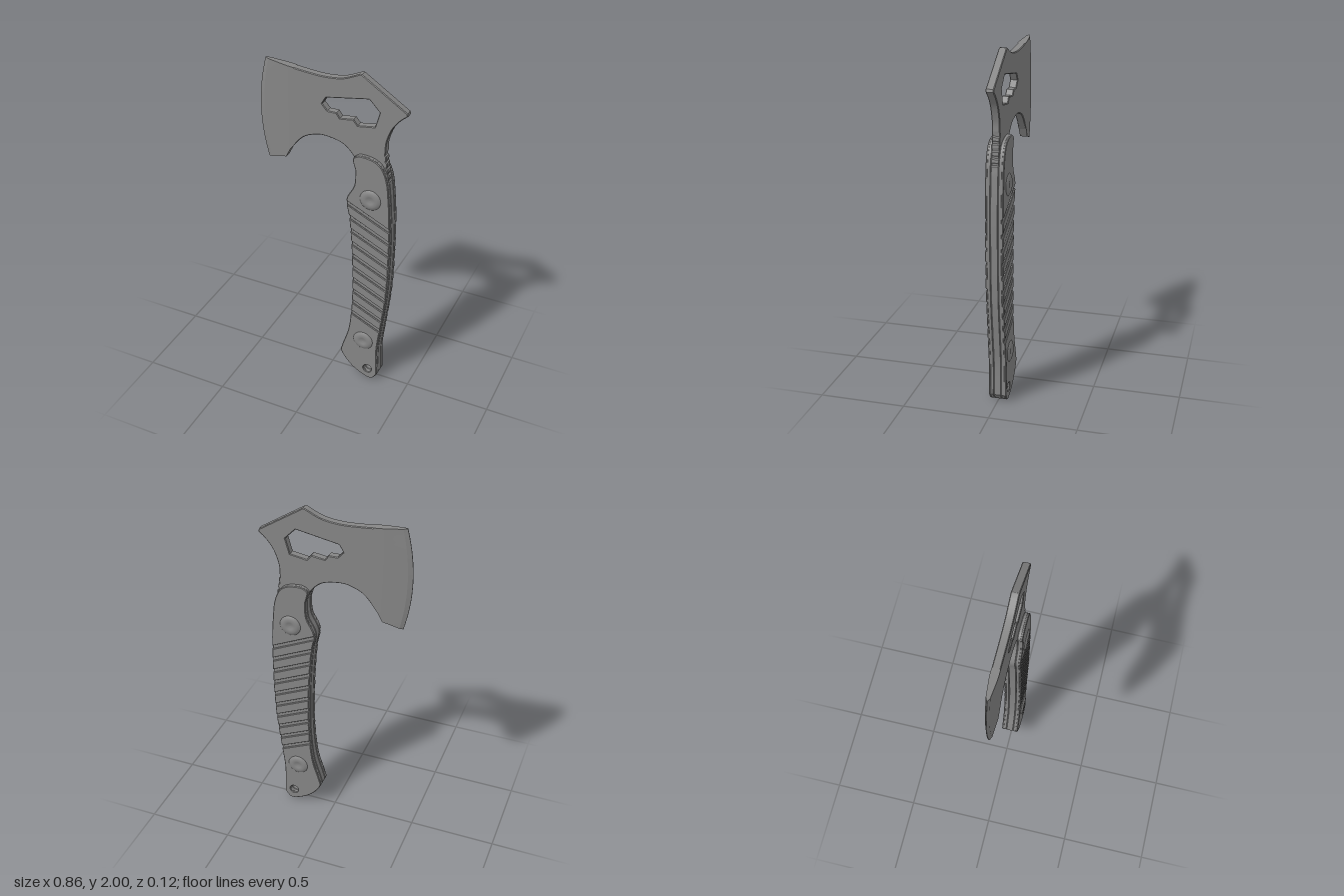
import * as THREE from 'three';
import { toCreasedNormals } from 'three/addons/utils/BufferGeometryUtils.js';

const material = new THREE.MeshStandardMaterial({ color: 0x868686 });
const vec = ([x, y]) => new THREE.Vector2(x, y);
const smooth = (pts, n = 5) => new THREE.SplineCurve(pts.map(vec)).getPoints((pts.length - 1) * n);

// Drop points that nearly coincide, so bevels stay clean
const tidy = (pts) => pts.filter((p, i) => p.distanceTo(pts[(i + 1) % pts.length]) > 0.0015);

// Flat plate between two z levels with a small bevel kept inside the outline
function plate(points, holes, z0, z1, bevel) {
  const shape = new THREE.Shape(tidy(points));
  holes.forEach((h) => shape.holes.push(new THREE.Path(h)));
  const geo = new THREE.ExtrudeGeometry(shape, {
    depth: z1 - z0 - 2 * bevel, bevelThickness: bevel, bevelSize: bevel,
    bevelOffset: -bevel, bevelSegments: 1, curveSegments: 8,
  });
  geo.translate(0, 0, z0 + bevel);
  return toCreasedNormals(geo, 0.5);
}

// Keep the part of a polygon where side * (y + slope * x - c) >= 0
const SLOPE = 0.47;
function clip(points, c, side) {
  const dist = (p) => side * (p.y + SLOPE * p.x - c);
  const out = [];
  points.forEach((p, i) => {
    const q = points[(i + 1) % points.length], a = dist(p), b = dist(q);
    if (a >= 0) out.push(p);
    if ((a >= 0) !== (b >= 0)) out.push(p.clone().lerp(q, a / (a - b)));
  });
  return out;
}

// Handle edges, shared by the steel and the grip scales
const handleFront = smooth([[0.155, 1.45], [0.15, 1.35], [0.105, 1.25], [0.123, 1.13], [0.14, 0.92],
  [0.147, 0.65], [0.142, 0.49], [0.125, 0.335], [0.086, 0.2], [0.081, 0.145], [0.138, 0.067],
  [0.21, 0.018], [0.276, 0], [0.314, 0.042]]);
const handleBack = smooth([[0.314, 0.042], [0.31, 0.23], [0.327, 0.39], [0.356, 0.65], [0.365, 0.92],
  [0.362, 1.18], [0.347, 1.37]]);

const circle = (x, y, r, n = 24) => Array.from({ length: n }, (_, i) =>
  new THREE.Vector2(x + r * Math.cos(i / n * 2 * Math.PI), y + r * Math.sin(i / n * 2 * Math.PI)));
const lanyardHole = circle(0.254, 0.071, 0.026);

function steelBody() {
  // Shallow thumb notches along the spine
  const notches = [];
  for (let i = 0; i < 5; i++) {
    const y = 1.385 + i * 0.038, x = 0.346 - (y - 1.37) * 0.15;
    notches.push([x, y], [x - 0.002, y + 0.018], [x - 0.009, y + 0.024], [x - 0.009, y + 0.032]);
  }
  const outline = [
    ...smooth([[-0.25, 1.46], [-0.175, 1.55], [-0.11, 1.585], [-0.04, 1.597], [0.065, 1.575],
      [0.13, 1.515], [0.155, 1.45]]),
    ...handleFront, ...handleBack, ...notches.map(vec),
    ...smooth([[0.316, 1.585], [0.318, 1.64], [0.345, 1.72], [0.385, 1.777], [0.43, 1.818]]),
    vec([0.426, 1.833]), vec([0.172, 1.998]), vec([0.16, 1.998]),
    ...smooth([[0.15, 1.993], [0.065, 1.957], [-0.04, 1.945], [-0.15, 1.951], [-0.25, 1.961]]),
  ];
  // Wrench cut-out
  const wrench = [[-0.053, 1.785], [-0.03, 1.825], [0.215, 1.868], [0.275, 1.805], [0.25, 1.717],
    [0.153, 1.702], [0.128, 1.733], [0.05, 1.722], [0.03, 1.75], [-0.022, 1.75]].map(vec);
  return plate(outline, [wrench, lanyardHole], -0.022, 0.022, 0.004);
}

// Blade lofted from columns: x, bottom, top, half thickness, outward bulge
function bladeGeometry() {
  const columns = [[-0.215, 1.507, 1.958, 0.0222, 0], [-0.25, 1.46, 1.961, 0.0222, 0],
    [-0.275, 1.41, 1.964, 0.021, 0], [-0.37, 1.384, 1.974, 0.0115, 0.035], [-0.39, 1.378, 1.977, 0.002, 0.041]];
  const rows = 16, ring = 2 * (rows + 1), pos = [], index = [];
  columns.forEach(([x, bottom, top, z, bulge]) => {
    for (let k = 0; k < ring; k++) {
      const front = k <= rows, v = (front ? k : ring - 1 - k) / rows;
      pos.push(x - bulge * 4 * v * (1 - v), bottom + (top - bottom) * v, front ? z : -z);
    }
  });
  for (let i = 0; i < columns.length - 1; i++) {
    for (let k = 0; k < ring; k++) {
      const a = i * ring + k, b = i * ring + (k + 1) % ring;
      index.push(a, b, a + ring, b, b + ring, a + ring);
    }
  }
  // Close the cutting edge
  const e = (columns.length - 1) * ring;
  for (let k = 0; k < rows; k++) {
    const a = e + k, b = a + 1, c = e + ring - 1 - k, d = c - 1;
    index.push(a, b, c, b, d, c);
  }
  const geo = new THREE.BufferGeometry();
  geo.setAttribute('position', new THREE.Float32BufferAttribute(pos, 3));
  geo.setIndex(index);
  return toCreasedNormals(geo, 0.1);
}

export function createModel() {
  const model = new THREE.Group();
  model.name = 'hatchet';
  const add = (name, geo, parent = model) => {
    const mesh = new THREE.Mesh(geo, material);
    mesh.name = name;
    parent.add(mesh);
    return mesh;
  };

  add('steelBody', steelBody());
  add('blade', bladeGeometry());

  // Grip scale outline with its rounded upper end
  const scaleOutline = [...handleFront, ...handleBack,
    ...smooth([[0.343, 1.4], [0.328, 1.455], [0.3, 1.505], [0.255, 1.532], [0.185, 1.541],
      [0.148, 1.525], [0.14, 1.505], [0.152, 1.46]])];

  // Low bolt head with a sloping rim and a dished centre
  const boltGeo = new THREE.LatheGeometry(smooth([[0.063, 0], [0.061, 0.005], [0.053, 0.01],
    [0.042, 0.014], [0.028, 0.0145], [0.014, 0.011], [0, 0.009]], 3), 32);

  const grooves = 10, first = 1.28, step = 0.082, half = 0.011;
  for (const side of [1, -1]) {
    const scale = new THREE.Group();
    scale.name = side > 0 ? 'frontGripScale' : 'backGripScale';
    model.add(scale);
    const layer = (name, pts, holes, lo, hi, bevel) =>
      add(name, plate(pts, holes, side > 0 ? lo : -hi, side > 0 ? hi : -lo, bevel), scale);

    layer('scaleBase', scaleOutline, [lanyardHole], 0.0205, 0.043, 0.004);
    // Raised bands between the slanted grooves
    for (let i = 0; i <= grooves; i++) {
      let band = scaleOutline;
      if (i > 0) band = clip(band, first - (i - 1) * step - half, -1);
      if (i < grooves) band = clip(band, first - i * step + half, 1);
      layer('gripBand', band, i === grooves ? [lanyardHole] : [], 0.036, 0.051, 0.004);
    }
    for (const [x, y] of [[0.247, 1.283], [0.222, 0.283]]) {
      const bolt = add('bolt', boltGeo, scale);
      bolt.position.set(x, y, side * 0.0465);
      bolt.rotation.x = side * Math.PI / 2;
    }
  }
  return model;
}
